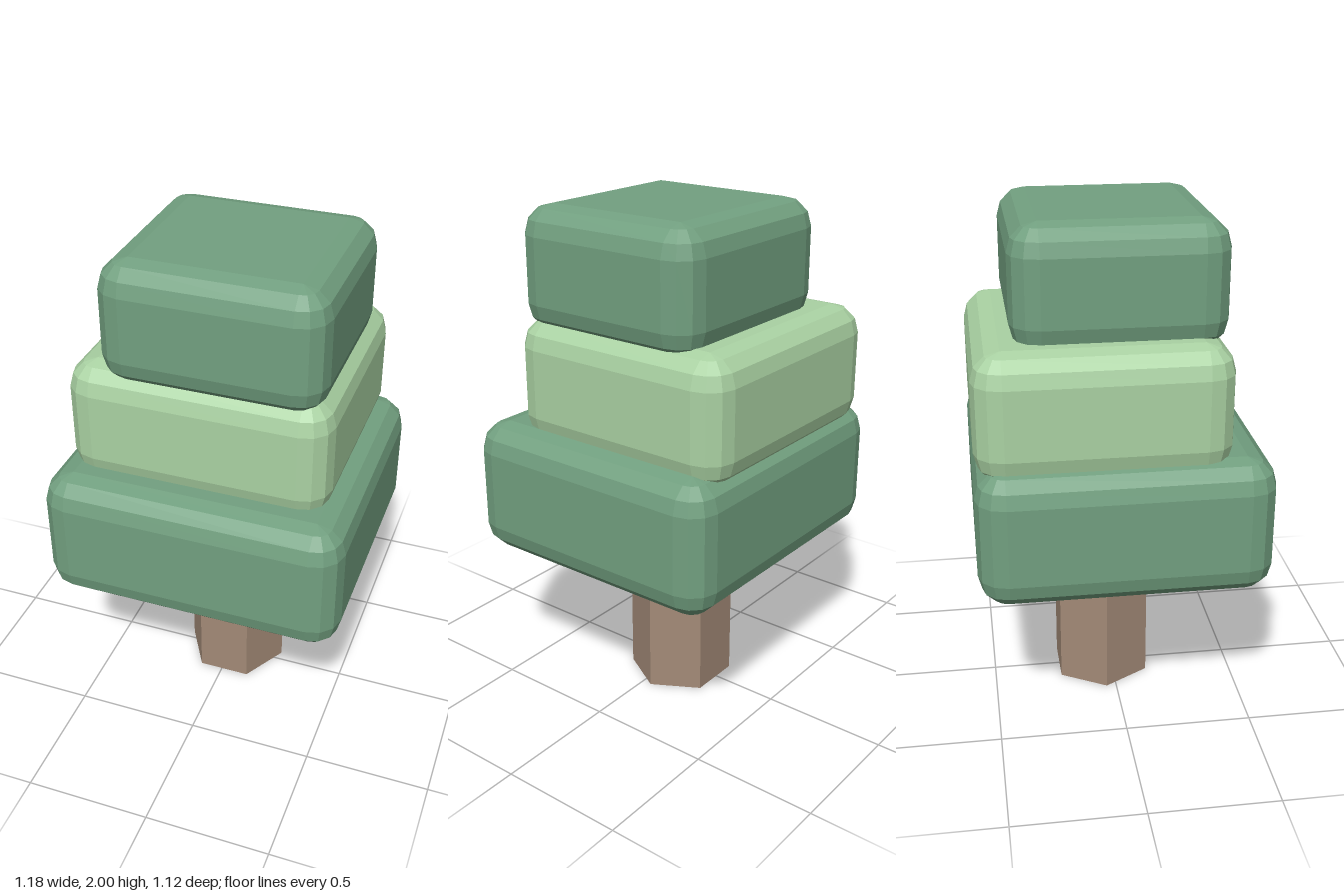
import * as THREE from 'three';

const STEPS = 3; // facets per rounded edge

// Box with faceted round edges, built from stacked rounded-rectangle rings.
function beveledBox([x0, x1], [y0, y1], [z0, z1], r) {
  const cx = (x0 + x1) / 2, cz = (z0 + z1) / 2;
  const hx = (x1 - x0) / 2 - r, hz = (z1 - z0) / 2 - r;
  const positions = [], indices = [];
  const corners = [[1, 1], [-1, 1], [-1, -1], [1, -1]];
  const n = 4 * (STEPS + 1);

  const addRing = (y, radius) => {
    corners.forEach(([sx, sz], c) => {
      for (let i = 0; i <= STEPS; i++) {
        const a = (c + i / STEPS) * Math.PI / 2;
        positions.push(cx + sx * hx + radius * Math.cos(a), y, cz + sz * hz + radius * Math.sin(a));
      }
    });
  };
  for (const side of [-1, 1]) {
    for (let i = 0; i <= STEPS; i++) {
      const lat = (side < 0 ? i - STEPS : i) / STEPS * Math.PI / 2;
      const centre = side < 0 ? y0 + r : y1 - r;
      addRing(centre + r * Math.sin(lat), r * Math.cos(lat));
    }
  }

  // Sides between rings
  const rings = 2 * (STEPS + 1);
  for (let k = 0; k < rings - 1; k++) {
    for (let i = 0; i < n; i++) {
      const j = (i + 1) % n;
      const a = k * n + i, b = k * n + j, c = a + n, d = b + n;
      // The polar rings have coincident corner points
      const sameCorner = i % (STEPS + 1) !== STEPS;
      if (!(k === 0 && sameCorner)) indices.push(a, d, b);
      if (!(k === rings - 2 && sameCorner)) indices.push(a, c, d);
      if (k === 0 && sameCorner) indices.pop(), indices.pop(), indices.pop(), indices.push(a, c, d);
    }
  }
  // Flat bottom and top
  const s = STEPS + 1, t = (rings - 1) * n;
  indices.push(0, s, 2 * s, 0, 2 * s, 3 * s);
  indices.push(t, t + 2 * s, t + s, t, t + 3 * s, t + 2 * s);

  const geometry = new THREE.BufferGeometry();
  geometry.setAttribute('position', new THREE.Float32BufferAttribute(positions, 3));
  geometry.setIndex(indices);
  const flat = geometry.toNonIndexed();
  flat.computeVertexNormals();
  return flat;
}

export function createModel() {
  const model = new THREE.Group();
  model.name = 'blockTree';
  const material = (color) => new THREE.MeshStandardMaterial({ color, flatShading: true });
  const darkLeaf = material(0x72a080);
  const lightLeaf = material(0xaad2a3);
  const bark = material(0xa38a77);

  const add = (name, geometry, mat) => {
    const mesh = new THREE.Mesh(geometry, mat);
    mesh.name = name;
    model.add(mesh);
    return mesh;
  };

  // Six-sided trunk with corners pointing left and right
  const trunk = add('trunk', new THREE.CylinderGeometry(0.21, 0.21, 0.72, 6), bark);
  trunk.rotation.y = Math.PI / 2;
  trunk.position.set(0.01, 0.36, -0.04);

  // Three slightly offset foliage blocks
  add('lowerFoliage', beveledBox([-0.593, 0.59], [0.62, 1.155], [-0.56, 0.557], 0.112), darkLeaf);
  add('middleFoliage', beveledBox([-0.53, 0.49], [1.09, 1.58], [-0.555, 0.4], 0.11), lightLeaf);
  add('upperFoliage', beveledBox([-0.39, 0.46], [1.525, 2.0], [-0.405, 0.4], 0.11), darkLeaf);
  return model;
}
